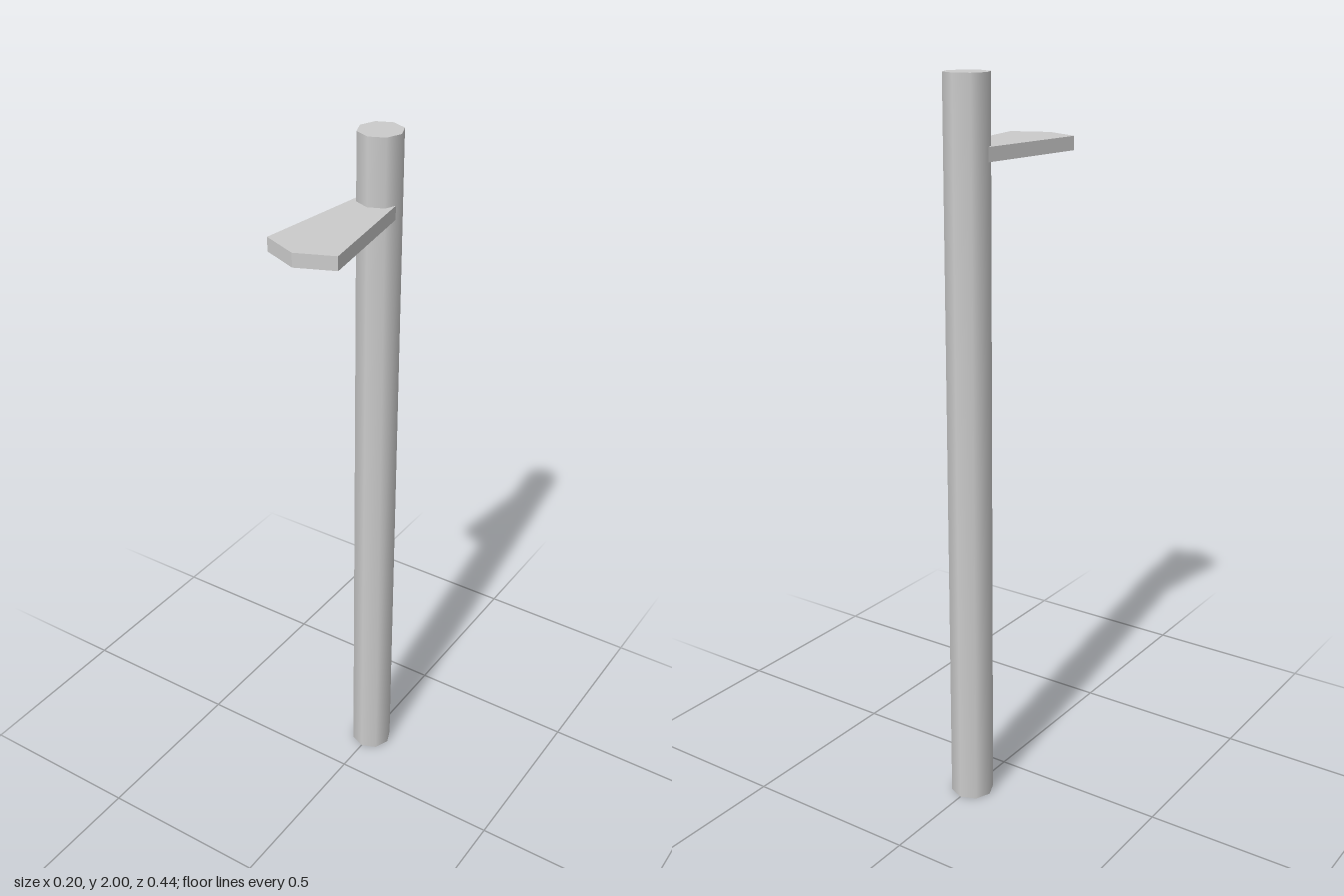
import * as THREE from 'three';

export function createModel() {
  const group = new THREE.Group();
  const material = new THREE.MeshStandardMaterial({ color: 0xcccccc });
  const postZ = -0.161;

  // Eight-sided post with smooth sides
  const post = new THREE.Mesh(new THREE.CylinderGeometry(0.06, 0.06, 2, 8), material);
  post.name = 'post';
  post.position.set(0, 1, postZ);
  group.add(post);

  // Flat pointed board, widening from inside the post towards the front
  const outline = new THREE.Shape([
    [-0.053, postZ], [0.053, postZ], [0.1, 0.178], [0, 0.22], [-0.1, 0.178],
  ].map(([x, z]) => new THREE.Vector2(x, z)));
  const boardGeometry = new THREE.ExtrudeGeometry(outline, { depth: 0.037, bevelEnabled: false });
  boardGeometry.rotateX(Math.PI / 2);
  const board = new THREE.Mesh(boardGeometry, material);
  board.name = 'signBoard';
  board.position.y = 1.822;
  group.add(board);

  return group;
}
